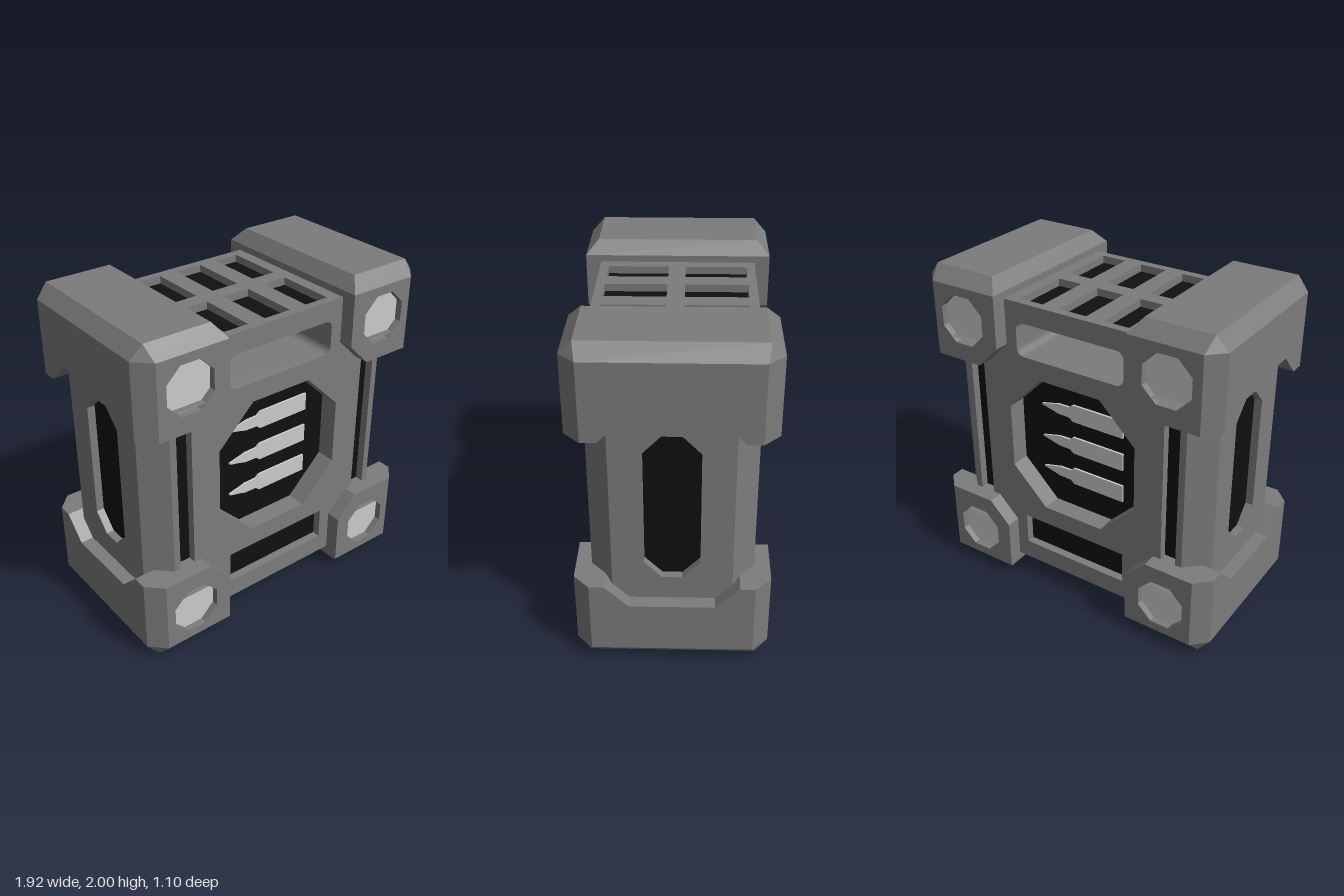
import * as THREE from 'three';

const mat = (color, side = THREE.FrontSide) => new THREE.MeshStandardMaterial({ color, side, flatShading: true });
const shellMat = mat(0x7c7c7c);
const wallMat = mat(0x7c7c7c, THREE.BackSide);
const darkMat = mat(0x101010);
const lightMat = mat(0xcccccc);

const BOTTOM = 0.13, TOP = 1.88, FRONT = 0.46, CORE = 0.335;

const pts = (list) => list.map(([x, y]) => new THREE.Vector2(x, y));
const rect = (x0, y0, x1, y1) => [[x0, y0], [x1, y0], [x1, y1], [x0, y1]];
// rectangle with corners cut by cx, cy
const cutRect = (x, y, w, h, cx, cy) => [
  [x - w + cx, y - h], [x + w - cx, y - h], [x + w, y - h + cy], [x + w, y + h - cy],
  [x + w - cx, y + h], [x - w + cx, y + h], [x - w, y + h - cy], [x - w, y - h + cy]];

// rectangle with rounded corners, for the handle opening
function roundRect(x0, y0, x1, y1, r) {
  const out = [];
  [[x1 - r, y1 - r], [x0 + r, y1 - r], [x0 + r, y0 + r], [x1 - r, y0 + r]].forEach(([cx, cy], q) => {
    for (let i = 0; i <= 6; i++) {
      const a = (q + i / 6) * Math.PI / 2;
      out.push([cx + r * Math.cos(a), cy + r * Math.sin(a)]);
    }
  });
  return out;
}

function shapeOf(outline, holes = []) {
  const s = new THREE.Shape(pts(outline));
  s.holes = holes.map((h) => new THREE.Path(pts(h)));
  return s;
}
const slab = (outline, holes, z0, z1) =>
  new THREE.ExtrudeGeometry(shapeOf(outline, holes), { depth: z1 - z0, bevelEnabled: false }).translate(0, 0, z0);
const sheet = (outline, z) => new THREE.ShapeGeometry(shapeOf(outline)).translate(0, 0, z);

function add(parent, name, geometry, material) {
  const m = new THREE.Mesh(geometry, material);
  m.name = name;
  parent.add(m);
  return m;
}

// Closed skin through rings of [x, z] points at rising heights; edges in skip stay open
function loft(levels, skip = []) {
  const pos = [];
  const tri = (...p) => p.forEach((v) => pos.push(...v));
  const at = ({ y, ring }, i) => { const p = ring[i % ring.length]; return [p[0], y, p[1]]; };
  const n = levels[0].ring.length;
  for (let k = 0; k + 1 < levels.length; k++) {
    const lo = levels[k], hi = levels[k + 1];
    for (let i = 0; i < n; i++) {
      if (lo.open !== false && skip.includes(i)) continue;
      tri(at(lo, i), at(lo, i + 1), at(hi, i + 1));
      tri(at(lo, i), at(hi, i + 1), at(hi, i));
    }
  }
  const first = levels[0], last = levels[levels.length - 1];
  for (let i = 1; i + 1 < n; i++) {
    tri(at(first, 0), at(first, i + 1), at(first, i));
    tri(at(last, 0), at(last, i), at(last, i + 1));
  }
  const g = new THREE.BufferGeometry();
  g.setAttribute('position', new THREE.Float32BufferAttribute(pos, 3));
  g.computeVertexNormals();
  return g;
}

// Corner guard running front to back, heights measured from the box centre
function cornerGuard() {
  const g = new THREE.Group();
  const ySplit = 0.605, yEdge = 0.92, yLow = 0.47;
  const wide = [[0.43, 0.55], [0.87, 0.55], [0.96, 0.46], [0.96, -0.46], [0.87, -0.55], [0.43, -0.55]];
  const narrow = [[0.49, 0.475], [0.89, 0.475], [0.89, 0.475], [0.89, -0.475], [0.89, -0.475], [0.49, -0.475]];
  add(g, 'guardBlock', loft([
    { y: ySplit, ring: wide }, { y: yEdge, ring: wide, open: false }, { y: 1, ring: narrow }], [0, 4]), shellMat);

  const legRing = (xi, zi) => [[xi, 0.55], [0.87, 0.55], [0.96, 0.46], [0.96, zi], [xi, zi]];
  const flip = (ring) => ring.map(([x, z]) => [x, -z]).reverse();
  const low = legRing(0.565, 0.375), high = legRing(0.43, 0.24);
  add(g, 'guardLegFront', loft([{ y: yLow, ring: low }, { y: ySplit, ring: high }], [0]), shellMat);
  add(g, 'guardLegBack', loft([{ y: yLow, ring: flip(low) }, { y: ySplit, ring: flip(high) }], [3]), shellMat);

  // end faces with a recessed octagonal bolt
  const r = 0.157, bx = 0.67, by = 0.72, sink = 0.04;
  for (const s of [1, -1]) {
    const end = new THREE.Group();
    end.name = s > 0 ? 'guardFrontEnd' : 'guardBackEnd';
    if (s < 0) end.rotation.y = Math.PI;
    const outline = [[0.43, ySplit], [0.565, yLow], [0.87, yLow], [0.87, yEdge], [0.43, yEdge]].map(([x, y]) => [x * s, y]);
    const hole = Array.from({ length: 8 }, (_, i) => {
      const a = Math.PI / 8 + i * Math.PI / 4;
      return [bx * s + r * Math.cos(a), by + r * Math.sin(a)];
    });
    add(end, 'endFace', new THREE.ShapeGeometry(shapeOf(outline, [hole])).translate(0, 0, 0.55), shellMat);
    add(end, 'boltRecess', new THREE.CylinderGeometry(r, r, sink, 8, 1, true, Math.PI / 8)
      .rotateX(Math.PI / 2).translate(bx * s, by, 0.55 - sink / 2), wallMat);
    add(end, 'bolt', sheet(hole, 0.55 - sink), lightMat);
    g.add(end);
  }
  return g;
}

// Front panel with its recesses and the row of cartridges
function facePanel(handle) {
  const g = new THREE.Group();
  const window8 = cutRect(0, 1.003, 0.43, 0.433, 0.23, 0.23);
  const lowerSlot = rect(-0.355, 0.25, 0.355, 0.45);
  const grooves = [rect(-0.71, 0.4, -0.613, 1.6), rect(0.613, 0.4, 0.71, 1.6)];
  add(g, 'panel', slab(rect(-0.75, BOTTOM, 0.75, 1.83), [handle, window8, lowerSlot, ...grooves], CORE, FRONT), shellMat);
  add(g, 'windowFloor', sheet(window8, 0.342), darkMat);
  add(g, 'lowerSlotFloor', sheet(lowerSlot, FRONT - 0.05), darkMat);
  grooves.forEach((o) => add(g, 'grooveFloor', sheet(o, FRONT - 0.05), darkMat));

  const half = [[0.285, 0.055], [-0.06, 0.055], [-0.085, 0.034], [-0.165, 0.032], [-0.2, 0.022], [-0.278, 0.004]];
  const cartridge = [...half, ...half.map(([x, y]) => [x, -y]).reverse()];
  for (const y of [0.79, 1.005, 1.22]) {
    add(g, 'cartridge', slab(cartridge, [], 0.34, 0.355).translate(0, y, 0), lightMat);
  }
  return g;
}

// Side panel with a long recess and the chamfered upright corners
function sidePanel() {
  const g = new THREE.Group();
  const recess = cutRect(0, 1.003, 0.155, 0.46, 0.1, 0.105);
  add(g, 'sidePlate', slab(rect(-CORE, BOTTOM, CORE, TOP), [recess], 0.83, 0.88).rotateY(Math.PI / 2), shellMat);
  add(g, 'sideRecessFloor', sheet(recess, 0.833).rotateY(Math.PI / 2), darkMat);
  for (const s of [1, -1]) {
    const wedge = [[0.75, s * FRONT], [0.88, s * CORE], [0.75, s * CORE]];
    add(g, 'cornerChamfer', slab(wedge, [], BOTTOM, TOP).rotateX(-Math.PI / 2), shellMat);
  }
  return g;
}

export function createModel() {
  const model = new THREE.Group();
  model.name = 'ammoCrate';

  // core with the carrying handle opening
  const handle = roundRect(-0.357, 1.555, 0.357, 1.76, 0.045);
  add(model, 'core', slab(rect(-0.83, BOTTOM, 0.83, 1.83), [handle], -CORE, CORE), shellMat);

  // top plate with six vents
  const vents = [];
  for (const [a, b] of [[-0.357, -0.2], [-0.087, 0.087], [0.2, 0.357]]) {
    vents.push(rect(a, 0.05, b, 0.408), rect(a, -0.408, b, -0.05));
  }
  add(model, 'topPlate', slab(rect(-0.75, -FRONT, 0.75, FRONT), vents, 1.83, TOP).rotateX(-Math.PI / 2), shellMat);
  vents.forEach((v) => add(model, 'ventFloor', sheet(v, 1.835).rotateX(-Math.PI / 2), darkMat));

  // faces and sides, each repeated by a half turn
  for (const turn of [0, Math.PI]) {
    const face = facePanel(handle);
    face.name = turn ? 'backPanel' : 'frontPanel';
    const side = sidePanel();
    side.name = turn ? 'rightSide' : 'leftSide';
    face.rotation.y = side.rotation.y = turn;
    model.add(face, side);
  }

  // four corner guards, placed by half turns about the centre
  const turns = {
    upperLeftGuard: [0, 0, 0], upperRightGuard: [0, Math.PI, 0],
    lowerLeftGuard: [Math.PI, 0, 0], lowerRightGuard: [0, 0, Math.PI],
  };
  for (const [name, r] of Object.entries(turns)) {
    const guard = cornerGuard();
    guard.name = name;
    guard.position.y = 1;
    guard.rotation.set(...r);
    model.add(guard);
  }
  return model;
}
